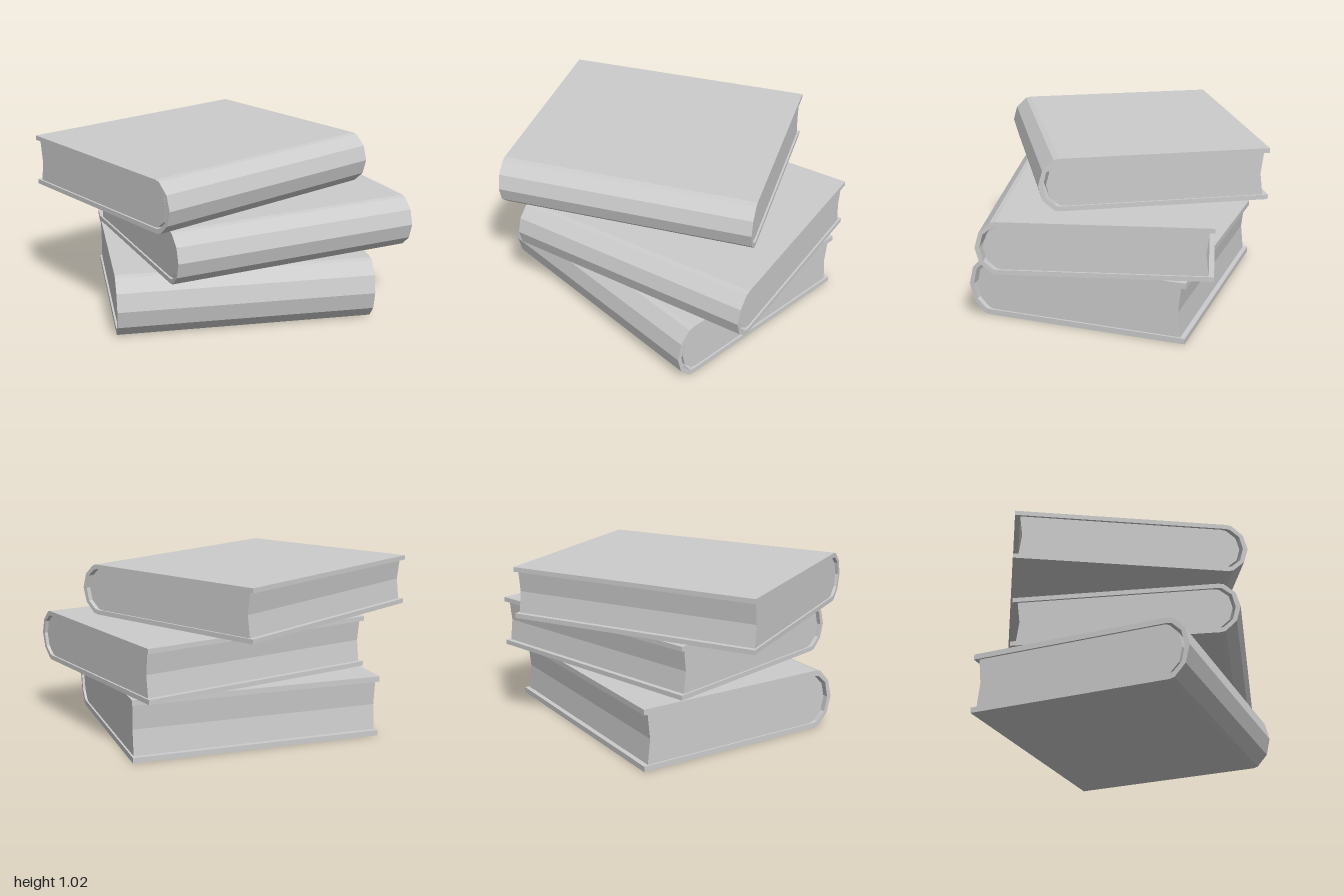
import * as THREE from 'three';

const LENGTH = 1.53; // along the spine
const HALF = 0.6675; // half the width from spine to fore edge
const material = new THREE.MeshStandardMaterial({ color: 0xcccccc, flatShading: true });

// Half profiles of [inset from the spine, height as a share of the half thickness]
const OUTER = [[0.12, 1], [0.09, 0.96], [0.025, 0.57], [0, 0]];
const INNER = [[0.125, 0.82], [0.10, 0.79], [0.047, 0.5], [0.028, 0]];
const PAGES = [[0.15, 0.82], [0.12, 0.78], [0.066, 0.48], [0.046, 0]];

// Mirror a half profile into a full curve from top to bottom
function spineCurve(half, h) {
  const lower = half.slice(0, -1).reverse().map(([d, v]) => [d, -v]);
  return [...half, ...lower].map(([d, v]) => new THREE.Vector2(d - HALF, v * h));
}

// Extrude a cross-section along x, with the spine towards +z
function extrudeAlongX(points, length, name) {
  const geometry = new THREE.ExtrudeGeometry(new THREE.Shape(points), { depth: length, bevelEnabled: false });
  geometry.translate(0, 0, -length / 2).rotateY(Math.PI / 2);
  const mesh = new THREE.Mesh(geometry, material);
  mesh.name = name;
  return mesh;
}

function makeBook(name, bottom, thickness, x, z, angle) {
  const h = thickness / 2;
  const p = (u, v) => new THREE.Vector2(u, v * h);
  const book = new THREE.Group();
  book.name = name;

  // Wrapped cover: two boards joined by a faceted round spine
  const cover = extrudeAlongX([
    p(HALF, 1), ...spineCurve(OUTER, h), p(HALF, -1),
    p(HALF, -0.82), ...spineCurve(INNER, h).reverse(), p(HALF, 0.82),
  ], LENGTH, 'cover');

  // Page block with a hollow fore edge, slightly inset from the boards
  const pages = extrudeAlongX([
    ...spineCurve(PAGES, h),
    p(HALF - 0.03, -0.82), p(HALF - 0.046, 0), p(HALF - 0.03, 0.82),
  ], LENGTH - 0.024, 'pages');

  book.add(cover, pages);
  book.position.set(x, bottom + h, z);
  book.rotation.y = angle;
  return book;
}

export function createModel() {
  const stack = new THREE.Group();
  stack.name = 'bookStack';
  stack.add(
    makeBook('bottomBook', 0, 0.37, -0.01, -0.005, -0.499),
    makeBook('middleBook', 0.377, 0.313, 0.095, 0.083, -0.245),
    makeBook('topBook', 0.71, 0.307, -0.14, -0.1, 0.022),
  );
  return stack;
}
